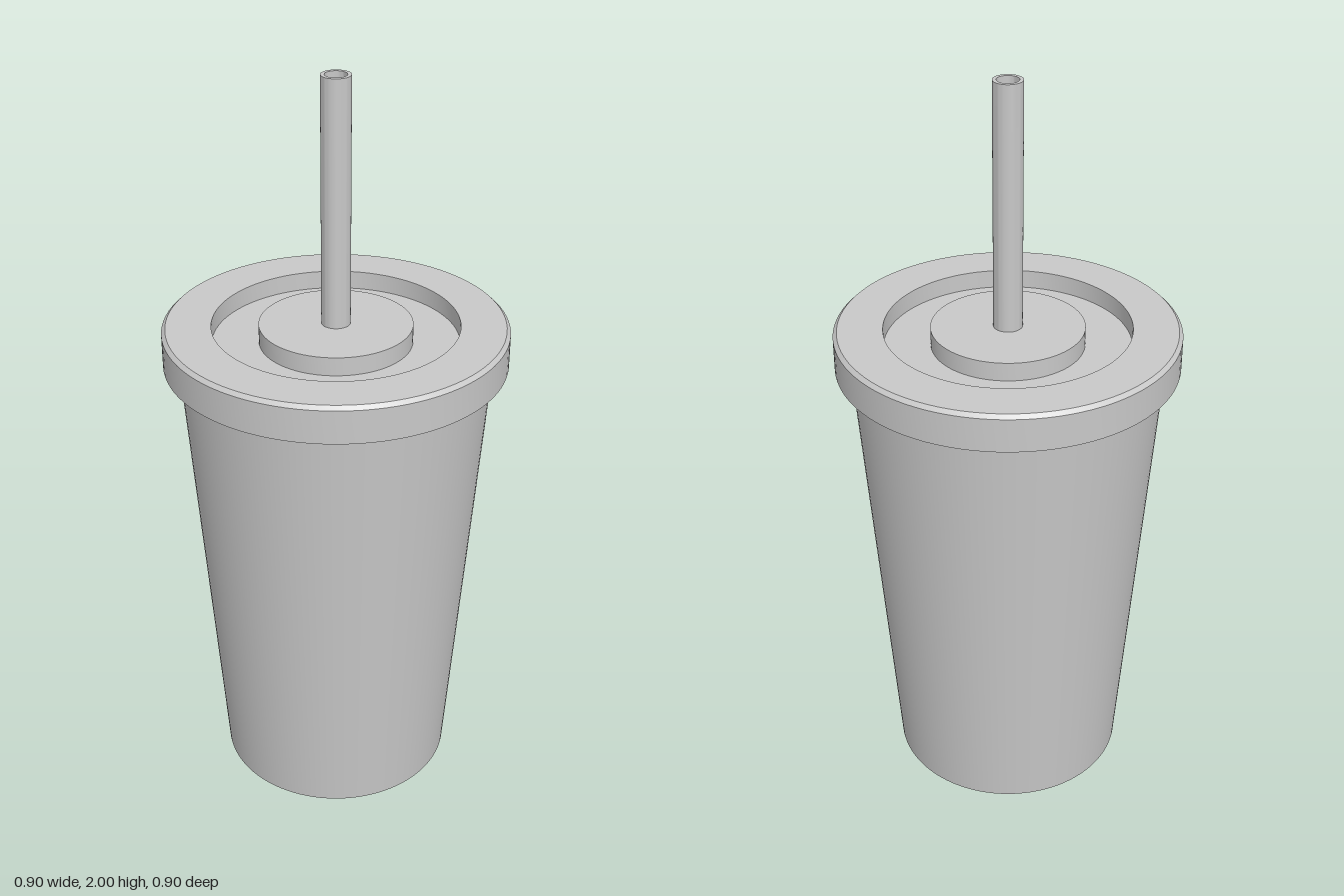
import * as THREE from 'three';
import { toCreasedNormals } from 'three/addons/utils/BufferGeometryUtils.js';

const grey = new THREE.MeshStandardMaterial({ color: 0xc8c8c8 });
grey.name = 'plain grey';

// Revolve a profile of [radius, height] pairs, listed counter-clockwise
function turned(name, profile, segments) {
  const points = profile.map(([r, y]) => new THREE.Vector2(r, y));
  const geometry = toCreasedNormals(new THREE.LatheGeometry(points, segments), Math.PI / 6);
  const mesh = new THREE.Mesh(geometry, grey);
  mesh.name = name;
  return mesh;
}

export function createModel() {
  const model = new THREE.Group();
  model.name = 'tumbler';

  // Tapered cup with a thin wall and a floor
  model.add(turned('cup', [
    [0, 0], [0.32, 0], [0.416, 1.335], [0.396, 1.335], [0.302, 0.02], [0, 0.02],
  ], 96));

  // Lid: overhanging hollow skirt, bevelled rim, sunken ring and raised centre
  model.add(turned('lid', [
    [0, 1.285], [0.335, 1.285], [0.335, 1.335], [0.438, 1.335], [0.438, 1.25],
    [0.45, 1.25], [0.45, 1.34], [0.44, 1.35], [0.322, 1.35], [0.322, 1.3],
    [0.2, 1.3], [0.2, 1.35], [0, 1.35],
  ], 96));

  // Hollow straw reaching down into the cup
  model.add(turned('straw', [
    [0.028, 0.1], [0.038, 0.1], [0.038, 2], [0.028, 2], [0.028, 0.1],
  ], 40));

  return model;
}
